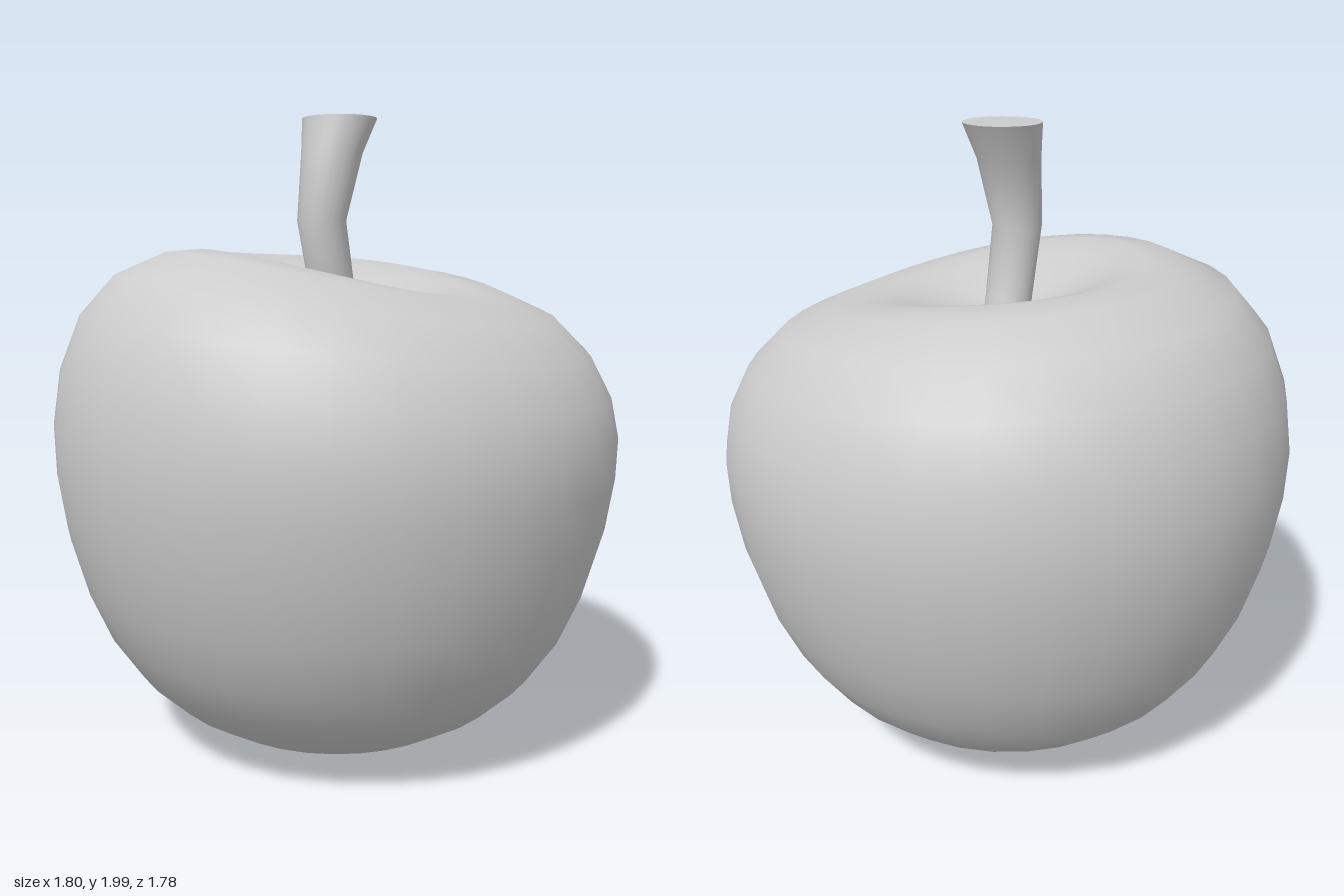
import * as THREE from 'three';
import { mergeVertices, toCreasedNormals } from 'three/addons/utils/BufferGeometryUtils.js';

const material = new THREE.MeshStandardMaterial({ color: 0xcccccc });

// Fruit: a lathed profile whose shoulder sags towards +x
function makeFruit() {
  const profile = [
    [0, 0.022], [0.12, 0.012], [0.25, 0.026], [0.41, 0.075], [0.54, 0.15], [0.65, 0.25],
    [0.745, 0.385], [0.815, 0.54], [0.868, 0.72], [0.895, 0.89], [0.9, 1.04], [0.875, 1.2],
    [0.81, 1.355], [0.7, 1.475], [0.54, 1.545], [0.43, 1.556], [0.32, 1.53], [0.21, 1.48],
    [0.1, 1.435], [0, 1.42],
  ].map(([r, y]) => new THREE.Vector2(r, y));
  const lathe = new THREE.LatheGeometry(profile, 32);
  lathe.deleteAttribute('uv');
  lathe.deleteAttribute('normal');
  const geometry = mergeVertices(lathe, 1e-4);
  const p = geometry.attributes.position;
  for (let i = 0; i < p.count; i++) {
    const x = p.getX(i), y = p.getY(i), z = p.getZ(i);
    const r = Math.hypot(x, z) || 1;
    const c = x / r, s = z / r;
    // the sag fades out down the sides and into the dimple
    const weight = THREE.MathUtils.smoothstep(y, 0.8, 1.5) * Math.min(1, r / 0.45);
    p.setY(i, y + weight * (-0.07 * c - 0.038 * c * c + 0.013 * s));
    p.setZ(i, z * 0.987);
  }
  geometry.computeVertexNormals();
  const mesh = new THREE.Mesh(geometry, material);
  mesh.name = 'fruit';
  return mesh;
}

// Stem: a cylinder bent at a knee and flared to a flat top
function makeStem() {
  // rings from the top down: height, z of the centre, radius
  const rings = [
    [2, -0.02, 0.119], [1.89, 0.023, 0.097], [1.68, 0.079, 0.077],
    [1.47, 0.024, 0.073], [1.36, -0.005, 0.073],
  ];
  const steps = rings.length - 1;
  const geometry = new THREE.CylinderGeometry(1, 1, 1, 24, steps);
  const p = geometry.attributes.position;
  for (let i = 0; i < p.count; i++) {
    const [y, z, r] = rings[Math.round((0.5 - p.getY(i)) * steps)];
    p.setXYZ(i, p.getX(i) * r + 0.003, y, p.getZ(i) * r + z);
  }
  const mesh = new THREE.Mesh(toCreasedNormals(geometry, Math.PI / 3.2), material);
  mesh.name = 'stem';
  return mesh;
}

export function createModel() {
  const group = new THREE.Group();
  group.name = 'apple';
  group.add(makeFruit(), makeStem());
  return group;
}
